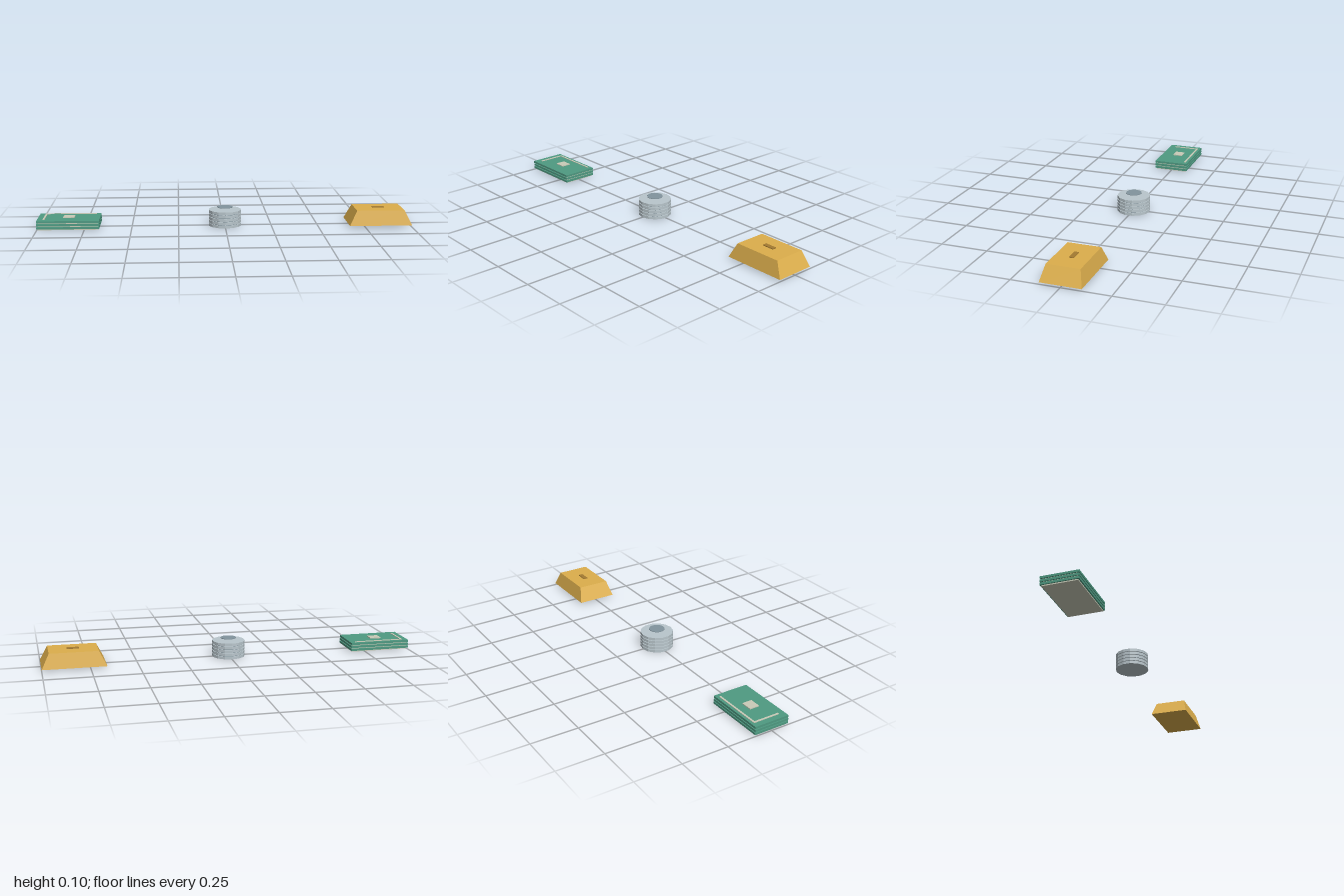
import * as THREE from 'three';

const mat = (color) => new THREE.MeshStandardMaterial({ color, flatShading: true });
const GREEN = mat(0x4f9a82), PAPER = mat(0xc9cbb8), STEEL = mat(0xb9c6cc),
  DARK_STEEL = mat(0x82949e), GOLD = mat(0xdcae4c), DARK_GOLD = mat(0xa37a30);

function add(parent, name, geometry, material, x, y, z) {
  const mesh = new THREE.Mesh(geometry, material);
  mesh.name = name;
  mesh.position.set(x, y, z);
  parent.add(mesh);
  return mesh;
}

function group(parent, name, x) {
  const g = new THREE.Group();
  g.name = name;
  g.position.x = x;
  parent.add(g);
  return g;
}

const box = (w, h, d) => new THREE.BoxGeometry(w, h, d);

// Stack of banknotes: green slabs separated by narrower paper layers
function buildNotes(root) {
  const notes = group(root, 'banknoteStack', -0.835);
  for (let i = 0; i < 3; i++) {
    const y = 0.003 + i * 0.0165;
    add(notes, 'paperLayer', box(0.318, 0.006, 0.18), PAPER, 0, y + 0.002, 0);
    add(notes, 'noteSlab', box(0.33, 0.0115, 0.194), GREEN, 0, y + 0.0105, 0);
  }
  // Pale border strips along the back and one end
  add(notes, 'backStrip', box(0.275, 0.003, 0.01), PAPER, 0.003, 0.0535, -0.078);
  add(notes, 'endStrip', box(0.01, 0.003, 0.145), PAPER, -0.13, 0.0535, -0.008);
  add(notes, 'centreSeal', box(0.06, 0.005, 0.054), PAPER, 0, 0.0545, 0);
}

// Stack of coins with thin grooves and a small disc hovering above
function buildCoins(root) {
  const coins = group(root, 'coinStack', 0);
  for (let i = 0; i < 5; i++) {
    const y = i * 0.018;
    add(coins, 'coin', new THREE.CylinderGeometry(0.088, 0.088, 0.0145, 14), STEEL, 0, y + 0.00725, 0);
    if (i < 4) add(coins, 'groove', new THREE.CylinderGeometry(0.082, 0.082, 0.004, 14), DARK_STEEL, 0, y + 0.01625, 0);
  }
  add(coins, 'topDisc', new THREE.CylinderGeometry(0.042, 0.042, 0.003, 14), DARK_STEEL, 0, 0.0995, 0);
}

// Ingot: a box whose upper corners are pulled inwards
function buildIngot(root) {
  const ingot = group(root, 'goldIngot', 0.8325);
  const bar = box(0.335, 0.079, 0.212);
  const p = bar.attributes.position;
  for (let i = 0; i < p.count; i++) {
    if (p.getY(i) > 0) {
      p.setX(i, Math.sign(p.getX(i)) * 0.128);
      p.setZ(i, Math.sign(p.getZ(i)) * 0.086);
    }
  }
  bar.computeVertexNormals();
  add(ingot, 'bar', bar, GOLD, 0, 0.0495, 0);
  add(ingot, 'stampPlate', box(0.064, 0.004, 0.024), DARK_GOLD, 0, 0.091, 0);
}

export function createModel() {
  const root = new THREE.Group();
  root.name = 'treasureSet';
  buildNotes(root);
  buildCoins(root);
  buildIngot(root);
  return root;
}
